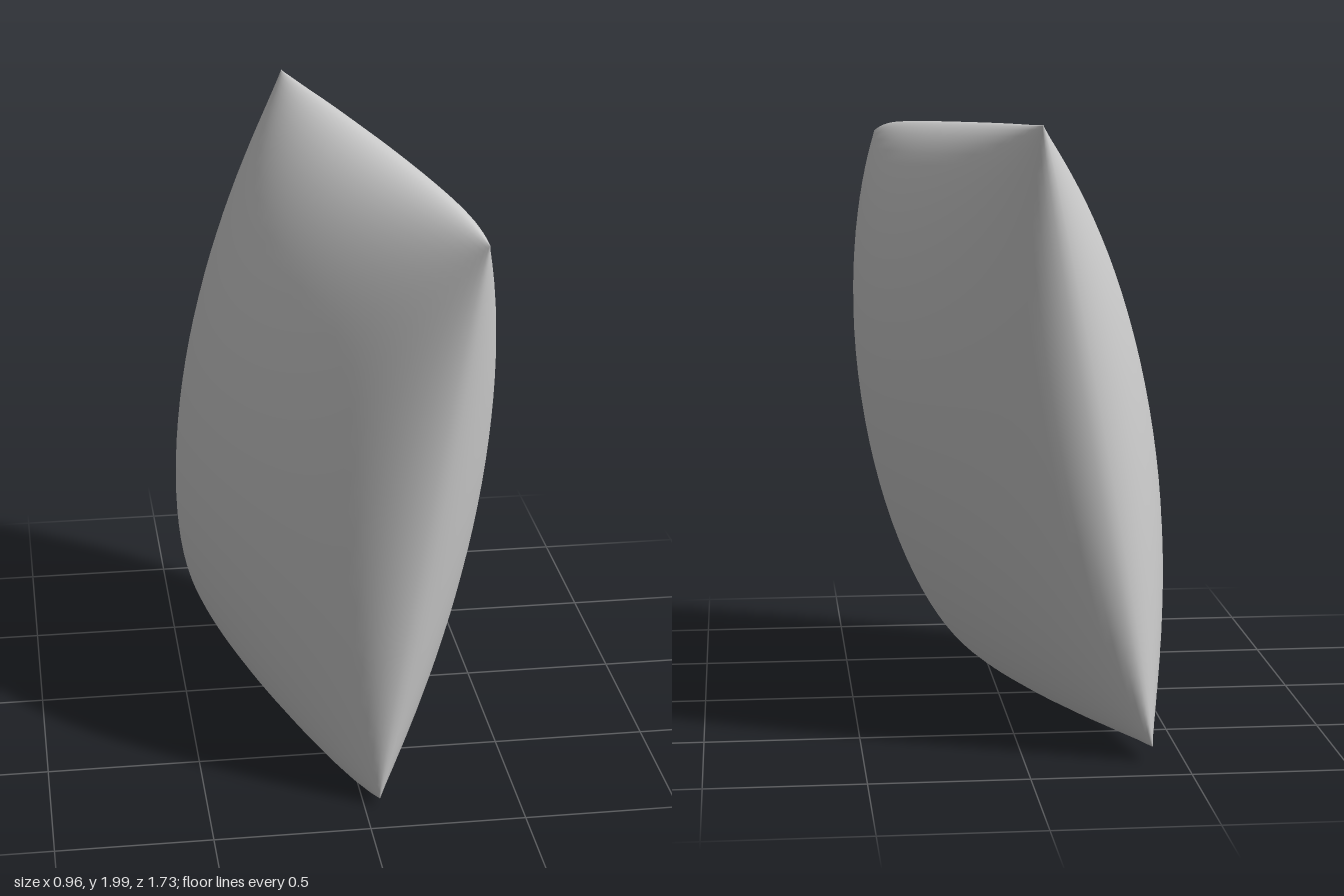
import * as THREE from 'three';
import { mergeVertices } from 'three/addons/utils/BufferGeometryUtils.js';

// Corners of the tilted, nearly square seam
const topBack = new THREE.Vector3(-0.05, 1.99, -0.86);
const topFront = new THREE.Vector3(0.37, 1.88, 0.85);
const bottomFront = new THREE.Vector3(0.05, 0.03, 0.865);
const bottomBack = new THREE.Vector3(-0.4, 0.05, -0.855);
const normal = new THREE.Vector3(1, -0.175, -0.25).normalize();
const THICKNESS = 0.41;
const N = 40;

// Point on one face: u runs back to front, v runs bottom to top
function cushionPoint(u, v, side) {
  const s = (u + 1) / 2;
  const low = bottomBack.clone().lerp(bottomFront, s);
  const high = topBack.clone().lerp(topFront, s);
  const p = low.lerp(high, (v + 1) / 2);
  // the top and bottom seams bow out a little towards the front
  p.y += v * 0.02 * (1 + u) * (1 - u ** 6);
  const swell = Math.max(0, (1 - u * u) * (1 - v * v)) ** 0.55;
  return p.addScaledVector(normal, side * THICKNESS * swell);
}

function createCushionGeometry() {
  const positions = [];
  const indices = [];
  // rows crowd towards the seam, where the surface curves most
  const spread = (i) => (i === 0 ? -1 : i === N ? 1 : -Math.cos((Math.PI * i) / N));
  for (const side of [1, -1]) {
    const base = positions.length / 3;
    for (let j = 0; j <= N; j++) {
      for (let i = 0; i <= N; i++) {
        positions.push(...cushionPoint(spread(i), spread(j), side).toArray());
      }
    }
    for (let j = 0; j < N; j++) {
      for (let i = 0; i < N; i++) {
        const a = base + j * (N + 1) + i;
        const b = a + 1;
        const c = a + N + 1;
        const d = c + 1;
        if (side > 0) indices.push(a, c, b, b, c, d);
        else indices.push(a, b, c, b, d, c);
      }
    }
  }
  const geometry = new THREE.BufferGeometry();
  geometry.setAttribute('position', new THREE.Float32BufferAttribute(positions, 3));
  geometry.setIndex(indices);
  // join both faces along the seam
  const joined = mergeVertices(geometry, 1e-5);
  joined.computeVertexNormals();
  return joined;
}

export function createModel() {
  const group = new THREE.Group();
  group.name = 'pillow';
  const cushion = new THREE.Mesh(
    createCushionGeometry(),
    new THREE.MeshStandardMaterial({ color: 0xcccccc })
  );
  cushion.name = 'cushion';
  group.add(cushion);
  return group;
}
